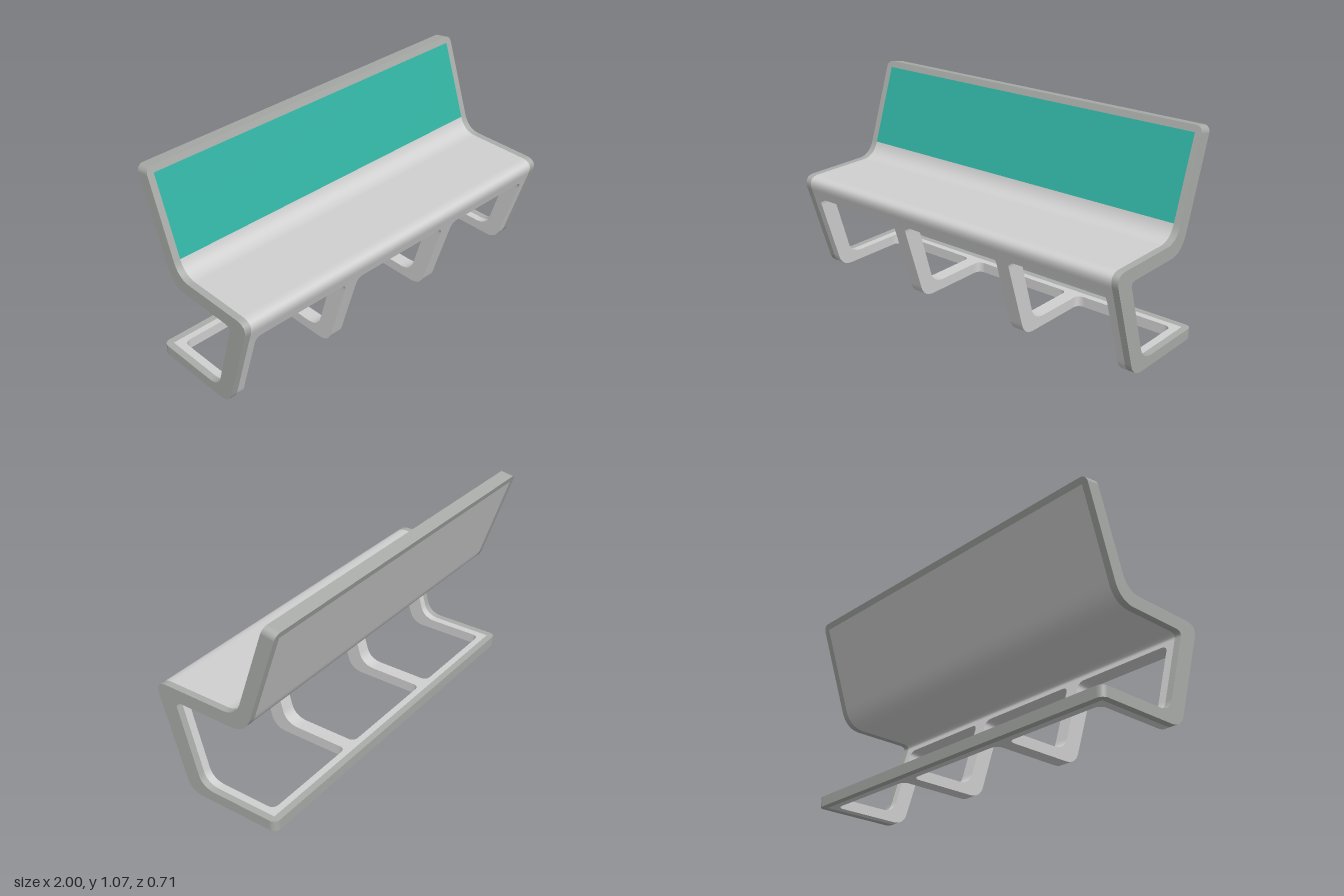
import * as THREE from 'three';

const material = (name, color, extra) => Object.assign(new THREE.MeshStandardMaterial({ color }), { name });

// Side profile as paired [z, y] points: upper/front face and lower/back face.
// Each entry is a section end; the optional third and fourth points are bend controls.
const START = [[-0.285, 1.072], [-0.355, 1.06]];
const SECTIONS = [
  [[-0.274, 1.04], [-0.344, 1.028]],                              // 0 top rim
  [[-0.137, 0.637], [-0.195, 0.585]],                             // 1 backrest
  [[-0.03, 0.56], [-0.07, 0.49], [-0.11, 0.56], [-0.165, 0.49]],  // 2 bend
  [[0.30, 0.56], [0.215, 0.49]],                                  // 3 seat
  [[0.355, 0.49], [0.247, 0.455], [0.377, 0.56], [0.26, 0.49]],   // 4 bend
  [[0.339, 0.44], [0.2425, 0.44]],                                // 5 apron
  [[0.222, 0.065], [0.147, 0.12]],                                // 6 leg
  [[0.13, 0], [0.05, 0.055], [0.202, 0], [0.128, 0.055]],         // 7 bend
  [[-0.24, 0], [-0.24, 0.055]],                                   // 8 runner
  [[-0.275, 0], [-0.275, 0.055]],                                 // 9 rear bar
  [[-0.31, 0], [-0.31, 0.055]],                                   // 10 rear rim
];
const N = 24;
const RIM = 0.965;

// Sample the profile into rows, keeping the running length s along the sheet
function makeRows() {
  const rows = [{ o: START[0], i: START[1], s: 0 }];
  let from = START;
  for (const [o, i, oc, ic] of SECTIONS) {
    const point = (a, b, c, u) => [0, 1].map((k) => c
      ? a[k] * (1 - u) ** 2 + 2 * c[k] * u * (1 - u) + b[k] * u * u
      : a[k] + (b[k] - a[k]) * u);
    for (let k = 1; k <= N; k++) {
      const u = oc ? k / N : (1 - Math.cos(Math.PI * k / N)) / 2;
      const row = { o: point(from[0], o, oc, u), i: point(from[1], i, ic, u) };
      const last = rows[rows.length - 1];
      row.s = last.s + Math.hypot(row.o[0] - last.o[0], row.o[1] - last.o[1]);
      rows.push(row);
    }
    from = [o, i];
  }
  return rows;
}

// Smooth sheet between two edges, merged into arrays
function addSheet(data, P, Q) {
  const base = data.pos.length / 3;
  P.forEach((p, k) => data.pos.push(...p, ...Q[k]));
  for (let k = 0; k < P.length - 1; k++) {
    const a = base + 2 * k;
    data.idx.push(a, a + 2, a + 3, a, a + 3, a + 1);
  }
}

export function createModel() {
  const model = new THREE.Group();
  model.name = 'bench';
  const shell = material('light grey shell', 0xcfcfcf);
  const edge = material('grey edge', 0xa9aca9);
  const teal = material('teal panel', 0x31b3a3);

  const rows = makeRows();
  const sAt = (t) => rows[t * N].s;

  // Amount by which a rounded corner of radius r reaches in at distance d from its end
  const corner = (d, r) => (d >= r ? 0 : r - Math.sqrt(Math.max(0, r * r - (r - d) ** 2)));
  const rounded = (t0, t1, r) => (s) => corner(s - sAt(t0), r) + corner(sAt(t1) - s, r);

  // Thick strip of the bent sheet between x = a(s) and x = b(s), sections t0 to t1
  function strip(name, mat, t0, t1, a, b, open = '', frontMat = mat) {
    const part = rows.slice(t0 * N, t1 * N + 1);
    const line = (f, key) => part.map((r) => [f(r.s), r[key][1], r[key][0]]);
    const [aO, aI, bO, bI] = [line(a, 'o'), line(a, 'i'), line(b, 'o'), line(b, 'i')];
    const e = part.length - 1;
    const data = { pos: [], idx: [] };
    addSheet(data, aO, bO);
    const split = data.idx.length;
    addSheet(data, bI, aI);
    if (open.includes('l')) addSheet(data, aI, aO);
    if (open.includes('r')) addSheet(data, bO, bI);
    if (open.includes('s')) addSheet(data, [aI[0], aO[0]], [bI[0], bO[0]]);
    if (open.includes('e')) addSheet(data, [aO[e], aI[e]], [bO[e], bI[e]]);
    const geo = new THREE.BufferGeometry();
    geo.setAttribute('position', new THREE.Float32BufferAttribute(data.pos, 3));
    geo.setIndex(data.idx);
    geo.computeVertexNormals();
    geo.addGroup(0, split, 0);
    geo.addGroup(split, data.idx.length - split, 1);
    const mesh = new THREE.Mesh(geo, frontMat === mat ? mat : [frontMat, mat]);
    mesh.name = name;
    model.add(mesh);
  }
  const at = (x) => () => x;

  // Central shell: rims, backrest, seat and rear bar
  strip('topRim', edge, 0, 1, at(-RIM), at(RIM), 's');
  strip('backrest', shell, 1, 2, at(-RIM), at(RIM), '', teal);
  strip('seat', shell, 2, 6, at(-RIM), at(RIM), 'e');
  strip('rearBar', shell, 9, 10, at(-RIM), at(RIM), 's');
  strip('rearRim', edge, 10, 11, at(-RIM), at(RIM), 'e');

  // Side rims run the whole length, with rounded ends
  const round = rounded(0, 11, 1 - RIM);
  strip('leftRim', edge, 0, 11, at(RIM), (s) => 1 - round(s), 'r');
  strip('rightRim', edge, 0, 11, (s) => round(s) - 1, at(-RIM), 'l');

  // Legs flare into the seat and rear bar
  const flare = rounded(6, 9, 0.035);
  strip('leftLeg', shell, 6, 9, (s) => 0.925 - flare(s), at(RIM), 'l');
  strip('rightLeg', shell, 6, 9, at(-RIM), (s) => flare(s) - 0.925, 'r');
  for (const x of [-0.335, 0.335]) {
    strip('middleLeg', shell, 6, 9, (s) => x - 0.037 - flare(s), (s) => x + 0.037 + flare(s), 'lr');
  }
  return model;
}
